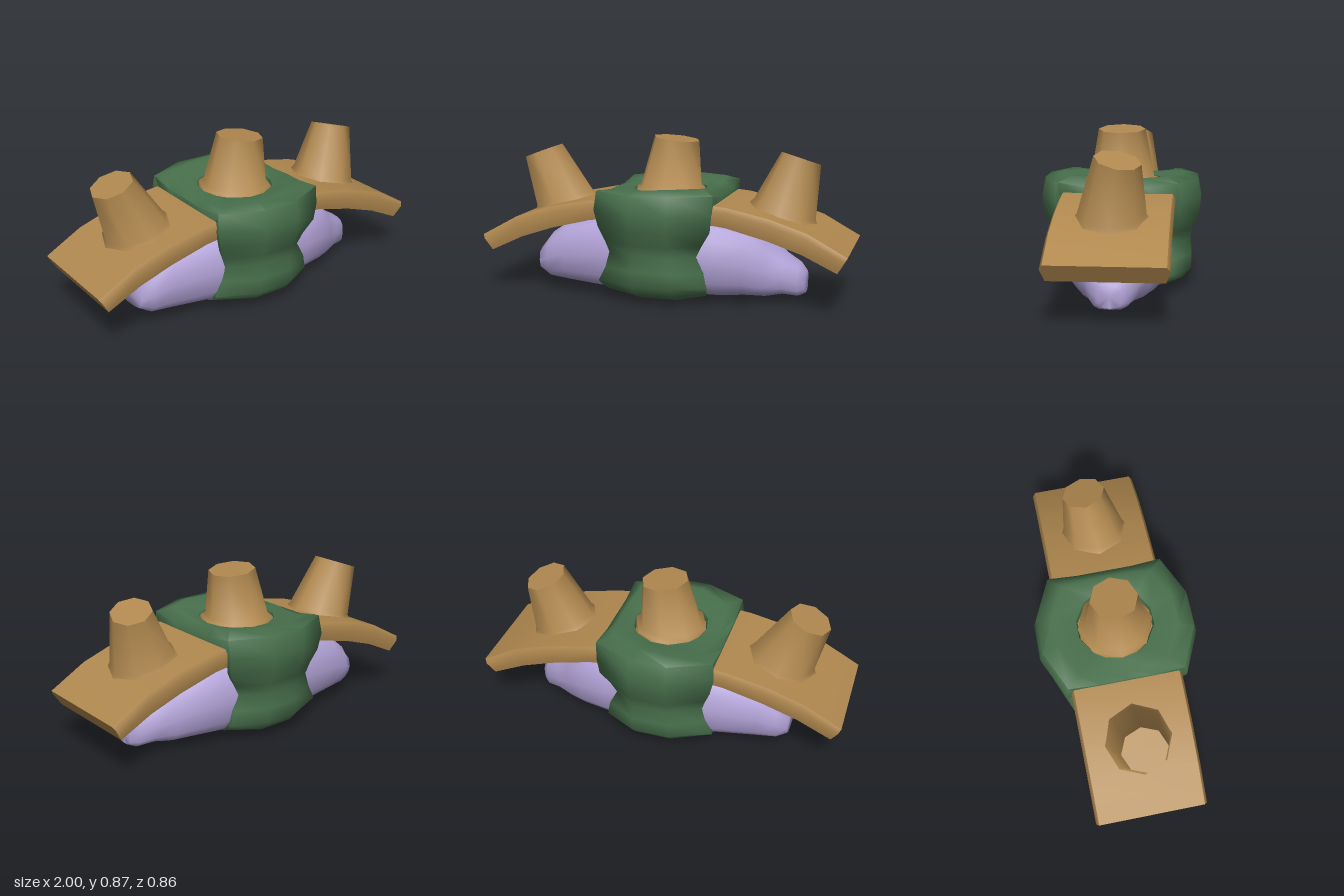
import * as THREE from 'three';
import { toCreasedNormals } from 'three/addons/utils/BufferGeometryUtils.js';

const wood = new THREE.MeshStandardMaterial({ color: 0xb0884f });
wood.name = 'tan wood';
const green = new THREE.MeshStandardMaterial({ color: 0x48704c, side: THREE.DoubleSide });
green.name = 'dark green';
const lilac = new THREE.MeshStandardMaterial({ color: 0xb3a4d8 });
lilac.name = 'lilac';

// Adds quads between successive rows of points.
function addGrid(rows, closed, tris) {
  for (let i = 0; i + 1 < rows.length; i++) {
    const a = rows[i], b = rows[i + 1], n = a.length;
    for (let j = 0; j < (closed ? n : n - 1); j++) {
      const k = (j + 1) % n;
      tris.push([a[j], b[j], b[k]], [a[j], b[k], a[k]]);
    }
  }
}

// Adds a fan that closes a ring.
function addCap(ring, flip, tris) {
  const c = [0, 1, 2].map((i) => ring.reduce((s, p) => s + p[i], 0) / ring.length);
  ring.forEach((p, j) => {
    const q = ring[(j + 1) % ring.length];
    tris.push(flip ? [c, q, p] : [c, p, q]);
  });
}

function toGeometry(tris, crease) {
  const g = new THREE.BufferGeometry();
  g.setAttribute('position', new THREE.Float32BufferAttribute(tris.flat(2), 3));
  return toCreasedNormals(g, crease);
}

// Closed solid through a series of rings, always facing outward.
function loft(rings, crease) {
  let tris = [];
  addGrid(rings, true, tris);
  addCap(rings[0], false, tris);
  addCap(rings[rings.length - 1], true, tris);
  let volume = 0;
  for (const [a, b, c] of tris) {
    volume += new THREE.Vector3(...a).dot(new THREE.Vector3(...b).cross(new THREE.Vector3(...c)));
  }
  if (volume < 0) tris = tris.map(([a, b, c]) => [a, c, b]);
  return toGeometry(tris, crease);
}

function part(name, geometry, material) {
  const m = new THREE.Mesh(geometry, material);
  m.name = name;
  return m;
}

// Horizontal ring, tilted by a slope along x and along z.
function tiltedRing(cx, cy, cz, rx, rz, slopeX = 0, slopeZ = 0) {
  return Array.from({ length: 8 }, (_, i) => {
    const a = (i / 8) * Math.PI * 2;
    const dx = rx * Math.cos(a), dz = rz * Math.sin(a);
    return [cx + dx, cy + dx * slopeX + dz * slopeZ, cz + dz];
  });
}

// Rounded body: stations of x, bottom, top and half depth.
function body() {
  const stations = [
    [-0.71, 0.10, 0.25, 0.19], [-0.65, 0.06, 0.33, 0.22], [-0.55, 0.05, 0.40, 0.24],
    [-0.3, 0.03, 0.45, 0.28], [0, 0.03, 0.48, 0.29], [0.3, 0.03, 0.45, 0.28],
    [0.45, 0.04, 0.42, 0.25], [0.55, 0.035, 0.335, 0.19], [0.64, 0.05, 0.255, 0.14],
    [0.72, 0.04, 0.21, 0.1], [0.755, 0.055, 0.17, 0.06],
  ];
  const round = (v) => Math.sign(v) * Math.abs(v) ** 0.65;
  return loft(stations.map(([x, lo, hi, hz]) => Array.from({ length: 16 }, (_, i) => {
    const a = (i / 16) * Math.PI * 2;
    return [x, (lo + hi) / 2 + ((hi - lo) / 2) * round(Math.sin(a)), hz * round(Math.cos(a))];
  })), 1.1);
}

// Bowed board with chamfered long edges: top x, top y, bottom x, bottom y, mirrored.
function board() {
  const half = [
    [1, 0.32, 0.95, 0.235], [0.8, 0.43, 0.77, 0.32], [0.6, 0.495, 0.59, 0.38],
    [0.38, 0.54, 0.37, 0.435], [0.15, 0.562, 0.15, 0.46],
  ];
  const all = [...half.map(([a, b, c, d]) => [-a, b, -c, d]), ...[...half].reverse()];
  return loft(all.map(([tx, ty, bx, by]) => {
    const mx = tx * 0.75 + bx * 0.25, my = ty * 0.75 + by * 0.25;
    return [
      [tx, ty, 0.285], [tx, ty, -0.285], [mx, my, -0.3],
      [bx, by, -0.28], [bx, by, 0.28], [mx, my, 0.3],
    ];
  }), 0.9);
}

// Wrap round the middle, with an oval opening at the top.
function wrap() {
  const tris = [];
  // Depth, height, right and left half width, down the front
  const front = [
    [0.41, 0.6, 0.32, 0.315], [0.43, 0.5, 0.33, 0.31], [0.42, 0.41, 0.31, 0.3],
    [0.385, 0.33, 0.28, 0.25], [0.37, 0.27, 0.26, 0.22], [0.38, 0.19, 0.28, 0.26],
    [0.38, 0.11, 0.32, 0.275], [0.33, 0.055, 0.31, 0.27], [0.24, 0.02, 0.3, 0.25],
    [0.1, 0.003, 0.28, 0.22],
  ];
  const path = [...front, ...[...front].reverse().map(([z, ...r]) => [-z, ...r])];
  addGrid(path.map(([z, y, r, l]) => {
    const lift = y < 0.06 ? 0.02 : 0;
    return [
      [-r * 0.97, y + lift * 2, z * 0.66], [-r, y + lift, z * 0.76], [-0.1, y, z],
      [0.1, y, z], [l, y + lift, z * 0.76], [l * 0.97, y + lift * 2, z * 0.66],
    ];
  }), false, tris);

  // Top: outline of the collar, then rings in to the opening
  const c = 0.41 * 0.76;
  const outline = [
    [0.315, c], [0.1, 0.41], [-0.1, 0.41], [-0.32, c], [-0.32, 0.15], [-0.32, 0],
    [-0.32, -0.15], [-0.32, -c], [-0.1, -0.41], [0.1, -0.41],
    [0.315, -c], [0.315, -0.15], [0.315, 0], [0.315, 0.15],
  ];
  const rings = [[], [], [], [], []];
  for (const [x, z] of outline) {
    const len = Math.hypot(x, z), ux = x / len, uz = z / len;
    const hx = ux * 0.2, hz = uz * 0.21;
    const edgeY = Math.abs(z) < 0.2 ? 0.575 : 0.6;
    rings[0].push([x * 0.97, 0.5, z * 0.97]);
    rings[1].push([x, edgeY, z]);
    rings[2].push([x * 0.6 + hx * 0.4, 0.592 + 0.03 * Math.abs(uz) + 0.05 * x, z * 0.6 + hz * 0.4]);
    rings[3].push([hx, 0.588, hz]);
    rings[4].push([hx * 0.93, 0.54, hz * 0.93]);
  }
  addGrid(rings, true, tris);
  return toGeometry(tris.map(outward), 1.5);
}

// Turns a triangle to face away from the middle of the wrap.
function outward([a, b, c]) {
  const A = new THREE.Vector3(...a), B = new THREE.Vector3(...b), C = new THREE.Vector3(...c);
  const n = B.clone().sub(A).cross(C.clone().sub(A));
  const mid = A.add(B).add(C).divideScalar(3).sub(new THREE.Vector3(0, 0.3, 0));
  return n.dot(mid) < 0 ? [a, c, b] : [a, b, c];
}

export function createModel() {
  const group = new THREE.Group();
  group.name = 'strappedBody';
  group.add(part('body', body(), lilac), part('board', board(), wood), part('wrap', wrap(), green));

  // Tapered pegs with slightly flared feet
  group.add(part('rightPeg', loft([
    tiltedRing(-0.625, 0.465, 0, 0.19, 0.195, 0.31),
    tiltedRing(-0.63, 0.5, 0, 0.165, 0.17, 0.31),
    tiltedRing(-0.75, 0.762, 0, 0.108, 0.12, 0.38),
  ], 1.3), wood));
  group.add(part('leftPeg', loft([
    tiltedRing(0.625, 0.465, 0, 0.19, 0.195, -0.31),
    tiltedRing(0.63, 0.5, 0, 0.165, 0.17, -0.31),
    tiltedRing(0.705, 0.768, -0.035, 0.105, 0.115, -0.3, 0.18),
  ], 1.3), wood));
  group.add(part('middlePeg', loft([
    tiltedRing(0, 0.55, 0, 0.205, 0.21),
    tiltedRing(0, 0.59, 0, 0.195, 0.2),
    tiltedRing(0, 0.6, 0, 0.172, 0.172),
    tiltedRing(0.033, 0.857, 0, 0.125, 0.127, -0.11),
  ], 1.3), wood));
  return group;
}
